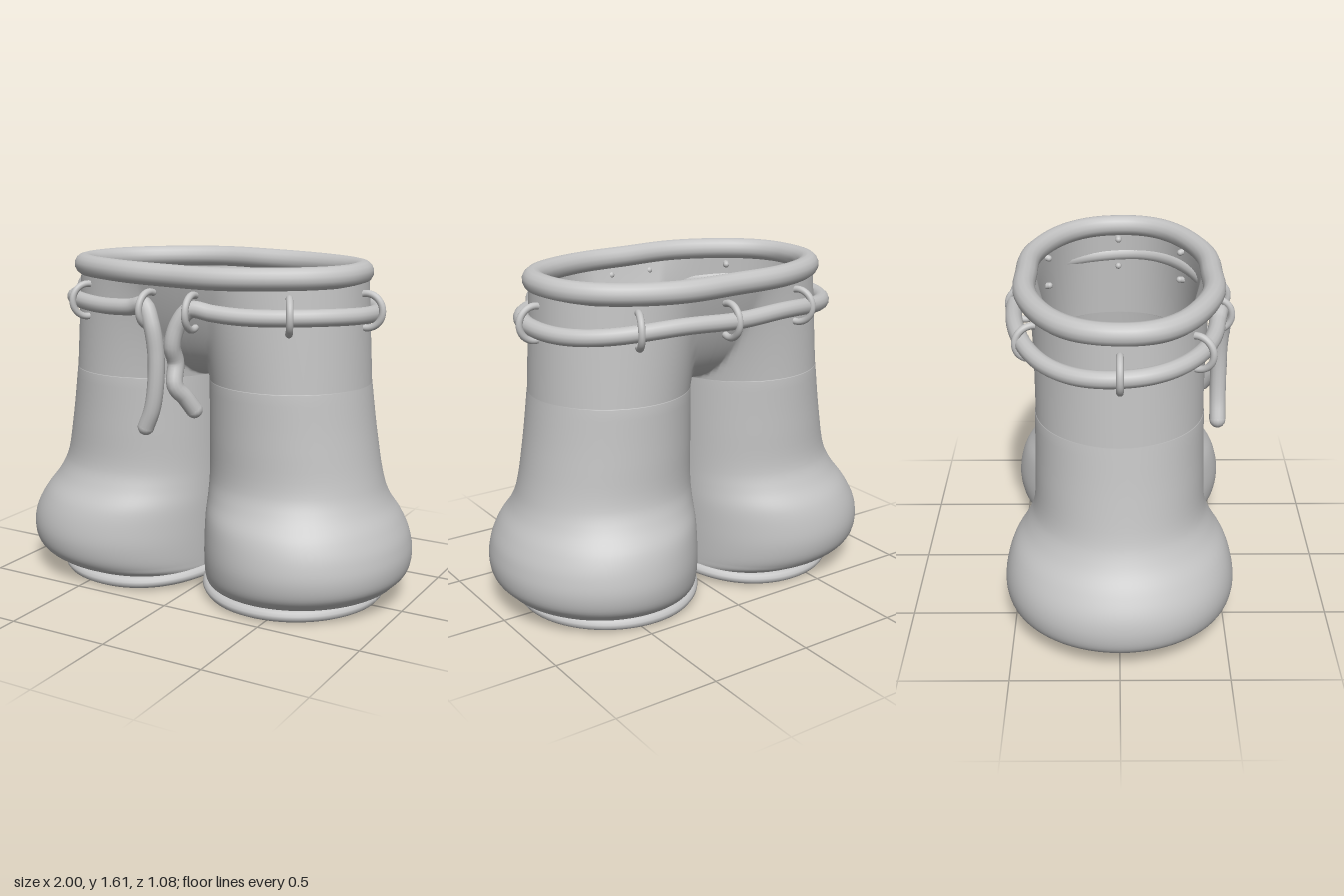
import * as THREE from 'three';

const CX = 0.02; // centre line of the garment
const V = (x, y, z) => new THREE.Vector3(x, y, z);

// Radius of a slightly squared oval in direction a (0 = sideways, PI/2 = front)
const oval = (a, rx, rz) =>
  (Math.abs(Math.cos(a) / rx) ** 2.25 + Math.abs(Math.sin(a) / rz) ** 2.25) ** (-1 / 2.25);
// Point on such an oval around the body
const around = (a, rx, rz, y, dz = 0) => {
  const r = oval(a, rx, rz);
  return V(CX + r * Math.cos(a), y, dz + r * Math.sin(a));
};

export function createModel() {
  const model = new THREE.Group();
  const cloth = new THREE.MeshStandardMaterial({ color: 0xc4c4c4 });
  cloth.name = 'grey cloth';
  cloth.side = THREE.DoubleSide;

  const add = (name, geometry, parent = model) => {
    const mesh = new THREE.Mesh(geometry, cloth);
    mesh.name = name;
    parent.add(mesh);
    return mesh;
  };
  const tube = (name, points, radius, closed, segments, parent = model) => {
    const curve = new THREE.CatmullRomCurve3(points, closed);
    const mesh = add(name, new THREE.TubeGeometry(curve, segments, radius, 14, closed), parent);
    if (!closed) {
      // rounded tips
      for (const p of [points[0], points[points.length - 1]]) {
        add(name + 'Tip', new THREE.SphereGeometry(radius, 14, 10), parent).position.copy(p);
      }
    }
    return mesh;
  };
  const ring = (n, fn) => Array.from({ length: n }, (_, i) => fn((i / n) * Math.PI * 2));

  // Leg profile: (width from the centre line, height, half depth)
  const profile = new THREE.CatmullRomCurve3([
    V(0.85, 0.065, 0.43), V(0.92, 0.095, 0.485), V(0.983, 0.15, 0.525),
    V(1.0, 0.23, 0.54), V(0.985, 0.32, 0.53), V(0.94, 0.41, 0.5),
    V(0.88, 0.5, 0.44), V(0.842, 0.59, 0.402), V(0.80, 0.8, 0.39), V(0.764, 1.05, 0.385),
  ], false, 'centripetal');

  // One trouser leg; above the crotch its ring opens into half of the waist oval
  function legGeometry(side) {
    const N = 72, LOW = 44, TOP = 24;
    const pos = [], index = [];
    for (let j = 0; j <= LOW + TOP; j++) {
      const low = j <= LOW;
      const p = profile.getPoint(low ? j / LOW : 1);
      const k = low ? 0 : ((j - LOW) / TOP) ** 2;
      const y = low ? p.y : 1.05 + 0.5 * k;
      const shift = side * CX * Math.min(1, Math.max(0, (0.6 - y) / 0.3)) * (y > 0.1 ? 1 : 0.4);
      for (let i = 0; i <= N; i++) {
        const a = (i / N - 0.5) * Math.PI;
        const r = (p.x - shift) / 2;
        let x = r + r * Math.cos(2 * a), z = p.z * Math.sin(2 * a);
        if (!low) {
          const legR = THREE.MathUtils.lerp(p.x * Math.cos(a), oval(a, 0.735, 0.43), k);
          const rho = Math.max(legR, oval(a, 0.735, 0.43 * k ** 0.3));
          x = rho * Math.cos(a);
          z = rho * Math.sin(a);
        }
        pos.push(CX + side * x, y, z);
      }
    }
    const w = N + 1;
    for (let j = 0; j < LOW + TOP; j++) {
      for (let i = 0; i < N; i++) {
        const a = j * w + i, b = a + 1, c = a + w, d = c + 1;
        if (side > 0) index.push(a, c, b, b, c, d);
        else index.push(a, b, c, b, d, c);
      }
    }
    const g = new THREE.BufferGeometry();
    g.setAttribute('position', new THREE.Float32BufferAttribute(pos, 3));
    g.setIndex(index);
    g.computeVertexNormals();
    return g;
  }

  for (const side of [1, -1]) {
    const label = side > 0 ? 'left' : 'right';
    add(label + 'Leg', legGeometry(side));
    // Flattened ankle hem, lifted a little where the legs meet
    const hem = tube(label + 'Hem', ring(48, (a) => V(
      CX + side * (0.412 + 0.388 * Math.cos(a)),
      0.052 + 0.045 * Math.max(0, -Math.cos(a)) ** 3,
      0.402 * Math.sin(a))), 0.052, true, 96);
    hem.geometry.scale(1, 0.64, 1);
    hem.geometry.computeVertexNormals();
  }

  // Rolled waistband with a slight wobble
  tube('waistband', ring(48, (a) => around(a,
    0.703 + 0.005 * Math.sin(5 * a), 0.437 + 0.005 * Math.cos(6 * a),
    1.557 + 0.003 * Math.sin(3 * a + 1))), 0.052, true, 140);

  // Drawstring: one cord running around the waist, with both ends hanging in front
  const belt = [];
  for (let i = 0; i <= 44; i++) {
    const a = Math.PI / 2 - 0.42 - (i / 44) * (Math.PI * 2 - 0.84);
    belt.push(around(a, 0.772 + 0.006 * Math.sin(5 * a), 0.475,
      1.398 - 0.016 * Math.cos(2 * a) + 0.008 * Math.sin(5 * a), -0.015));
  }
  tube('drawstring', [
    V(0.12, 0.95, 0.415), V(0.095, 1.01, 0.45), V(0.065, 1.07, 0.49), V(0.055, 1.17, 0.465),
    V(0.055, 1.25, 0.495), V(0.08, 1.35, 0.485), V(0.13, 1.415, 0.465),
    ...belt,
    V(-0.11, 1.42, 0.465), V(-0.065, 1.34, 0.48), V(-0.045, 1.2, 0.475),
    V(-0.05, 1.05, 0.475), V(-0.07, 0.94, 0.475), V(-0.105, 0.855, 0.475),
  ], 0.039, false, 260);

  // Belt loops: thin hoops poking through the cloth at both ends
  const loopSpots = [
    [0.14, 0.47], [0.61, 0.36], [0.81, 0], [0.54, -0.42], [0.04, -0.51],
    [-0.46, -0.42], [-0.77, 0], [-0.58, 0.36], [-0.11, 0.47],
  ];
  loopSpots.forEach(([x, z], n) => {
    const loop = new THREE.Group();
    loop.name = 'beltLoop' + (n + 1);
    const wall = around(Math.atan2(z, x - CX), 0.738, 0.428, 1.4);
    const out = V((wall.x - CX) / 0.738 ** 2, 0, wall.z / 0.428 ** 2).normalize(); // outward from the cloth
    const pts = [];
    for (let i = 0; i <= 12; i++) {
      const t = (i / 12 - 0.5) * Math.PI * 1.24;
      pts.push(wall.clone().addScaledVector(out, 0.018 + 0.078 * Math.cos(t)).add(V(0, 0.078 * Math.sin(t), 0)));
    }
    tube('hoop', pts, 0.016, false, 28, loop);
    model.add(loop);
  });

  return model;
}
